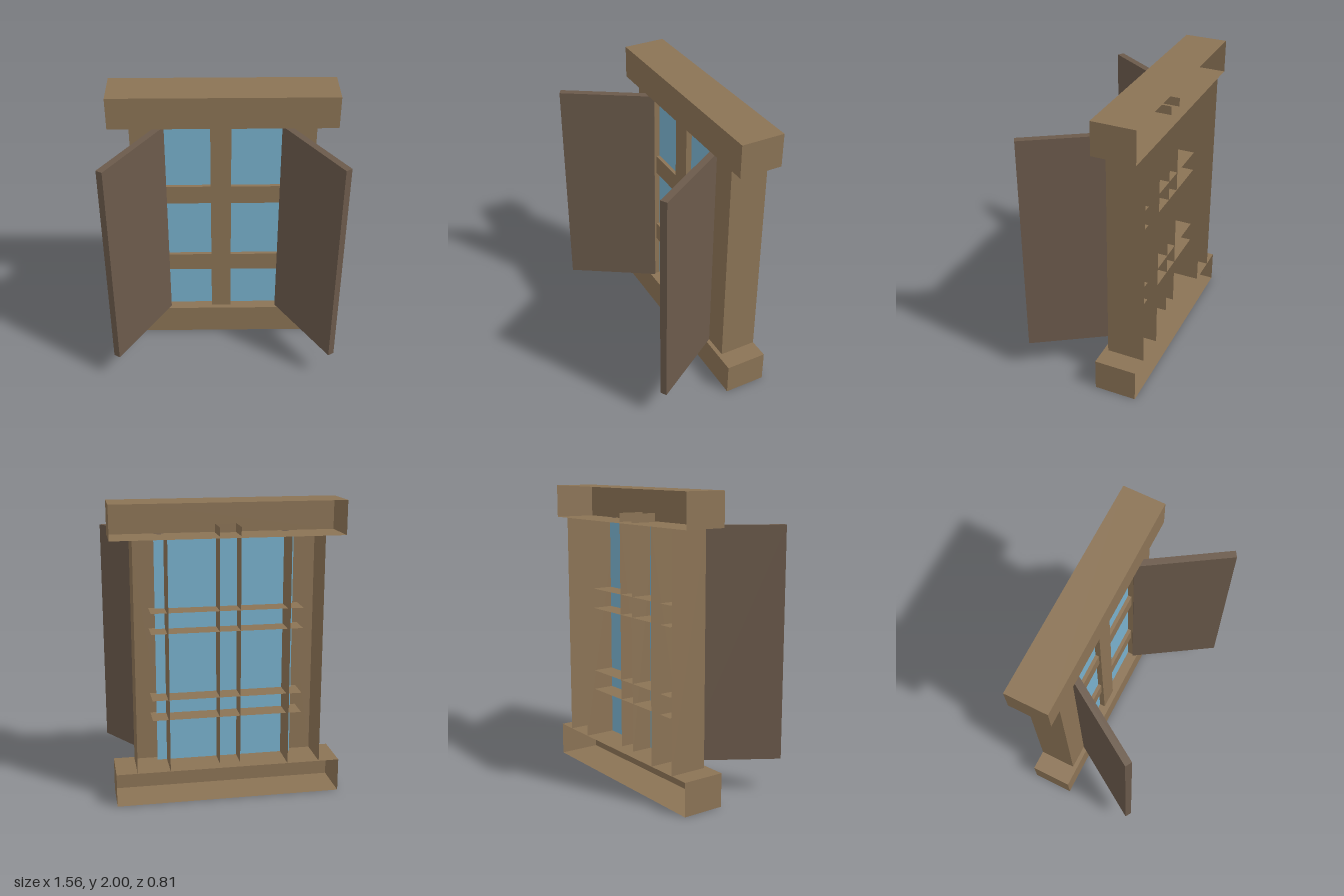
import * as THREE from 'three';

const wood = new THREE.MeshStandardMaterial({ color: 0x8b7355, side: THREE.DoubleSide, flatShading: true });
const shutterWood = new THREE.MeshStandardMaterial({ color: 0x6b5a4b, side: THREE.DoubleSide, flatShading: true });
const glass = new THREE.MeshStandardMaterial({ color: 0x78b0cc, side: THREE.DoubleSide });

// Box sides in the order BoxGeometry stores them
const SIDES = ['right', 'left', 'top', 'bottom', 'front', 'back'];

// A box between two corners that keeps only the listed sides
function shell(name, [x0, y0, z0], [x1, y1, z1], sides) {
  const geo = new THREE.BoxGeometry(x1 - x0, y1 - y0, z1 - z0);
  const all = Array.from(geo.index.array);
  geo.setIndex(SIDES.flatMap((s, i) => (sides.includes(s) ? all.slice(i * 6, i * 6 + 6) : [])));
  geo.clearGroups();
  geo.translate((x0 + x1) / 2, (y0 + y1) / 2, (z0 + z1) / 2);
  const mesh = new THREE.Mesh(geo, wood);
  mesh.name = name;
  return mesh;
}

export function createModel() {
  const model = new THREE.Group();
  model.name = 'shutteredWindow';
  const back = -0.41, low = 0.226, high = 1.776;

  // Sill and lintel: beams hollow at the back
  const beamSides = ['right', 'left', 'top', 'bottom', 'front'];
  model.add(shell('sill', [-0.76, 0, back], [0.76, low, -0.12], beamSides));
  model.add(shell('lintel', [-0.76, high, back], [0.76, 2, -0.12], beamSides));

  // Side posts, mullion: upright channels open at the back
  const upright = ['right', 'left', 'front'];
  model.add(shell('leftPost', [0.4, low, back], [0.62, high, -0.15], upright));
  model.add(shell('rightPost', [-0.62, low, back], [-0.4, high, -0.15], upright));
  model.add(shell('mullion', [-0.085, low, -0.34], [0.055, 1.835, -0.155], upright));

  // Cross rails: level channels running into the posts
  for (const [name, y] of [['lowerRail', 0.633], ['upperRail', 1.223]]) {
    model.add(shell(name, [-0.505, y - 0.069, -0.34], [0.505, y + 0.069, -0.17], ['top', 'bottom', 'front']));
  }

  // Glass pane, reaching slightly into the sill
  const pane = new THREE.Mesh(new THREE.PlaneGeometry(0.93, high - 0.2), glass);
  pane.name = 'glassPane';
  pane.position.set(0, (high + 0.2) / 2, -0.195);
  model.add(pane);

  // Open shutters, swung outwards
  for (const side of [1, -1]) {
    const shutter = new THREE.Mesh(new THREE.BoxGeometry(0.652, high - low, 0.047), shutterWood);
    shutter.name = side > 0 ? 'leftShutter' : 'rightShutter';
    shutter.position.set(side * 0.585, (low + high) / 2, 0.1125);
    shutter.rotation.y = -side * THREE.MathUtils.degToRad(57.5);
    model.add(shutter);
  }
  return model;
}
